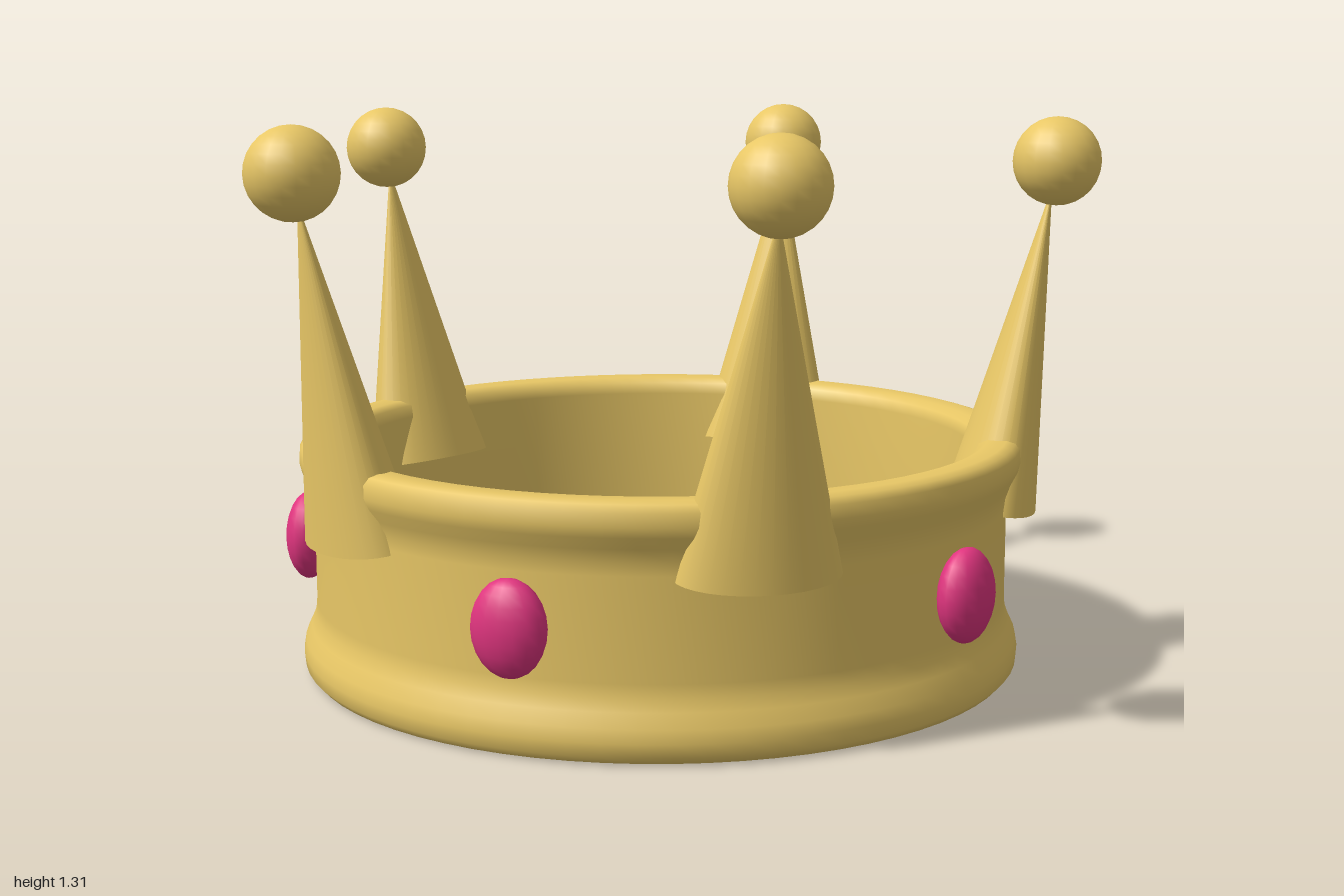
import * as THREE from 'three';

const gold = new THREE.MeshStandardMaterial({ color: 0xe8c766 });
const pink = new THREE.MeshStandardMaterial({ color: 0xe0357f });

function part(name, geometry, material, x = 0, y = 0) {
  const mesh = new THREE.Mesh(geometry, material);
  mesh.name = name;
  mesh.position.set(x, y, 0);
  return mesh;
}

export function createModel() {
  const crown = new THREE.Group();
  crown.name = 'crown';
  crown.position.x = -0.06;

  // Band: closed profile with a rounded lip at the top and bottom
  const profile = [
    [0.76, 0.28], [0.76, 0.05], [0.765, 0.02], [0.785, 0.005], [0.82, 0], [0.85, 0.003],
    [0.865, 0.02], [0.868, 0.05], [0.863, 0.08], [0.848, 0.112], [0.838, 0.14], [0.835, 0.17],
    [0.835, 0.4], [0.838, 0.43], [0.848, 0.46], [0.862, 0.487], [0.868, 0.51], [0.866, 0.54],
    [0.855, 0.556], [0.835, 0.562], [0.79, 0.56], [0.768, 0.548], [0.76, 0.52], [0.76, 0.28],
  ].map(([r, y]) => new THREE.Vector2(r, y));
  crown.add(part('band', new THREE.LatheGeometry(profile, 72), gold));

  // Flattened spikes lean outward and each carries a ball
  const base = new THREE.Vector2(0.8, 0.39);
  const tip = new THREE.Vector2(0.93, 1.15);
  const spikeGeometry = new THREE.ConeGeometry(1, base.distanceTo(tip), 32);
  const ballGeometry = new THREE.SphereGeometry(0.105, 20, 14);
  const gemGeometry = new THREE.SphereGeometry(1, 16, 12);

  for (let i = 0; i < 5; i++) {
    const point = new THREE.Group();
    point.name = 'point';
    point.rotation.y = (i * Math.PI * 2) / 5;
    const spike = part('spike', spikeGeometry, gold, (base.x + tip.x) / 2, (base.y + tip.y) / 2);
    spike.scale.set(0.11, 1, 0.185);
    spike.rotation.z = -Math.atan2(tip.x - base.x, tip.y - base.y);
    point.add(spike, part('ball', ballGeometry, gold, 0.94, 1.21));
    crown.add(point);

    // Oval gem halfway between two spikes
    const setting = new THREE.Group();
    setting.name = 'gemSetting';
    setting.rotation.y = ((i + 0.5) * Math.PI * 2) / 5;
    const gem = part('gem', gemGeometry, pink, 0.87, 0.285);
    gem.scale.set(0.055, 0.108, 0.086);
    setting.add(gem);
    crown.add(setting);
  }

  const model = new THREE.Group();
  model.add(crown);
  return model;
}
